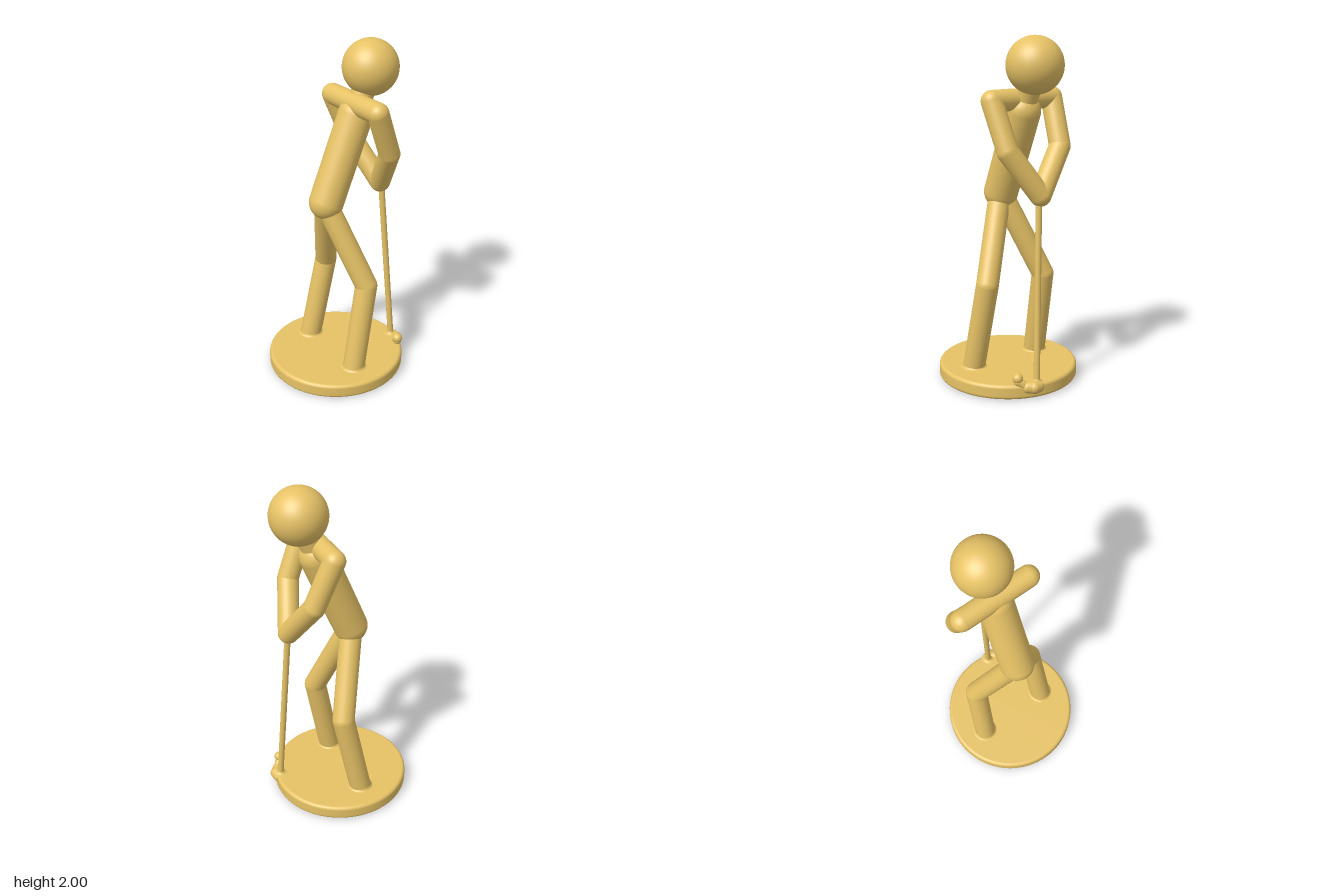
import * as THREE from 'three';

const V = (x, y, z) => new THREE.Vector3(x, y, z);
const UP = V(0, 1, 0);

export function createModel() {
  const model = new THREE.Group();
  model.name = 'golferFigure';
  const gold = new THREE.MeshStandardMaterial({ color: 0xe6c266 });

  const add = (name, geometry, position, parent = model) => {
    const mesh = new THREE.Mesh(geometry, gold);
    mesh.name = name;
    if (position) mesh.position.copy(position);
    parent.add(mesh);
    return mesh;
  };

  // Round-ended limb between two points
  const limb = (name, a, b, r, parent) => {
    const dir = b.clone().sub(a);
    const mesh = add(name, new THREE.CapsuleGeometry(r, dir.length(), 14, 36), a.clone().lerp(b, 0.5), parent);
    mesh.quaternion.setFromUnitVectors(UP, dir.normalize());
    return mesh;
  };

  // Concave collar that blends a round part into the one below or beside it
  const collar = (name, position, axis, r, size, parent) => {
    const profile = [];
    for (let i = 0; i <= 8; i++) {
      const t = (i / 8) * Math.PI / 2;
      profile.push(new THREE.Vector2(r + size * (1 - Math.sin(t)), size * (1 - Math.cos(t))));
    }
    const mesh = add(name, new THREE.LatheGeometry(profile, 36), position, parent);
    mesh.quaternion.setFromUnitVectors(UP, axis.clone().normalize());
    return mesh;
  };

  // Base disc with rounded rims
  const R = 0.41, H = 0.085, e = 0.02;
  const rim = [new THREE.Vector2(0, 0)];
  for (let i = 0; i <= 6; i++) {
    const t = (i / 6) * Math.PI / 2;
    rim.push(new THREE.Vector2(R - e + e * Math.sin(t), e - e * Math.cos(t)));
  }
  for (let i = 0; i <= 6; i++) {
    const t = (i / 6) * Math.PI / 2;
    rim.push(new THREE.Vector2(R - e + e * Math.cos(t), H - e + e * Math.sin(t)));
  }
  rim.push(new THREE.Vector2(0, H));
  add('base', new THREE.LatheGeometry(rim, 80), V(0, 0, 0.005));

  // Trunk, neck and head
  const hip = V(0, 1.1, 0.07), chest = V(0, 1.585, -0.132);
  const headCentre = V(0, 1.84, -0.233);
  limb('torso', hip, chest, 0.1);
  limb('neck', V(0, 1.6, -0.14), headCentre, 0.066);
  add('head', new THREE.SphereGeometry(0.16, 48, 32), headCentre);
  limb('shoulders', V(-0.21, 1.65, -0.125), V(0.21, 1.65, -0.125), 0.061);

  // Arms meet at the grip, legs stand apart on the base
  const grip = V(0.015, 1.137, -0.305);
  for (const s of [-1, 1]) {
    const side = s > 0 ? 'left' : 'right';
    const arm = new THREE.Group();
    arm.name = side + 'Arm';
    model.add(arm);
    const elbow = V(s * 0.185, 1.385, -0.232);
    limb('upperArm', V(s * 0.21, 1.65, -0.125), elbow, 0.061, arm);
    limb('forearm', elbow, grip, 0.061, arm);

    const leg = new THREE.Group();
    leg.name = side + 'Leg';
    model.add(leg);
    const knee = V(s * 0.205, 0.6, -0.068), foot = V(s * 0.229, 0.08, 0.036);
    limb('thigh', V(s * 0.025, 1.04, 0.06), knee, 0.065, leg);
    const shin = add('shin', new THREE.CylinderGeometry(0.065, 0.065, knee.distanceTo(foot), 36),
      knee.clone().lerp(foot, 0.5), leg);
    shin.quaternion.setFromUnitVectors(UP, knee.clone().sub(foot).normalize());
    add('kneeJoint', new THREE.SphereGeometry(0.065, 36, 24), knee, leg);
    collar('footCollar', V(s * 0.229, 0.083, 0.036), UP, 0.064, 0.022, leg);
  }

  // Club: shaft, flare above the head, and head
  const club = new THREE.Group();
  club.name = 'club';
  model.add(club);
  const shaftEnd = V(0.083, 0.09, -0.366);
  limb('shaft', V(0.027, 1.13, -0.306), shaftEnd, 0.018, club);
  collar('shaftCollar', V(0.083, 0.085, -0.366), UP, 0.017, 0.025, club);
  limb('clubHead', V(0.085, 0.06, -0.38), V(0.115, 0.063, -0.385), 0.035, club);
  limb('clubToe', V(0.115, 0.063, -0.383), V(0.145, 0.065, -0.362), 0.034, club);

  // Ball on its tee beside the club
  limb('tee', V(0.15, 0.07, -0.357), V(0.19, 0.1, -0.332), 0.025);
  add('ball', new THREE.SphereGeometry(0.03, 28, 20), V(0.192, 0.12, -0.331));

  return model;
}
